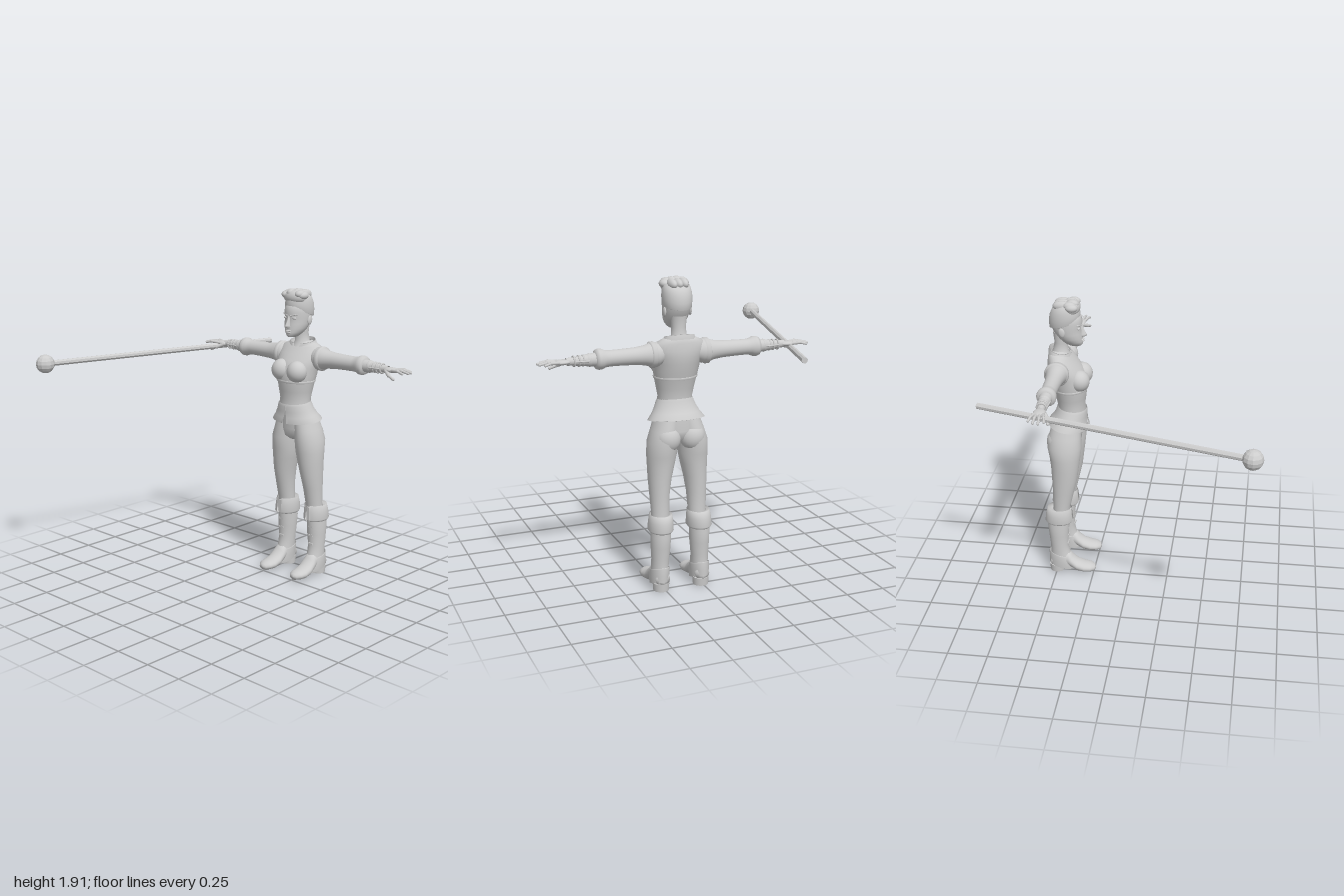
import * as THREE from 'three';

const grey = new THREE.MeshStandardMaterial({ color: 0xcccccc, side: THREE.DoubleSide });
grey.name = 'plain grey';

function add(parent, name, geometry, x = 0, y = 0, z = 0) {
  const mesh = new THREE.Mesh(geometry, grey);
  mesh.name = name;
  mesh.position.set(x, y, z);
  parent.add(mesh);
  return mesh;
}

// Skin over horizontal rings, listed top to bottom:
// [height, centre x, front z, back z, half width, half angle of a front slit]
function loft(rings, slope = 0, n = 32) {
  const open = rings.some(r => r[5]);
  const cols = open ? n + 1 : n;
  const pos = [], idx = [];
  rings.forEach(([h, cx, f, b, w, slit = 0], j) => {
    const cz = (f + b) / 2, d = (f - b) / 2;
    for (let i = 0; i < cols; i++) {
      const a = slit + (2 * Math.PI - 2 * slit) * i / n;
      const dz = d * Math.cos(a);
      pos.push(cx + w * Math.sin(a), h + slope * dz, cz + dz);
      if (j === rings.length - 1 || i === n) continue;
      const p = j * cols + i, q = j * cols + (i + 1) % cols;
      idx.push(p, p + cols, q, p + cols, q + cols, q);
    }
  });
  const g = new THREE.BufferGeometry();
  g.setAttribute('position', new THREE.Float32BufferAttribute(pos, 3));
  g.setIndex(idx);
  g.computeVertexNormals();
  return g;
}

const ball = (rx, ry, rz) => new THREE.SphereGeometry(1, 24, 16).scale(rx, ry, rz);

// Turned shape along x from [radius, distance] pairs
const turned = points => new THREE.LatheGeometry(
  points.map(p => new THREE.Vector2(...p)), 28).rotateZ(-Math.PI / 2);

// Rounded rod between two points
function rod(parent, name, a, b, r) {
  const from = new THREE.Vector3(...a), to = new THREE.Vector3(...b);
  const dir = to.clone().sub(from);
  const mesh = add(parent, name, new THREE.CapsuleGeometry(r, dir.length(), 5, 10));
  mesh.position.copy(from).add(to).multiplyScalar(0.5);
  mesh.quaternion.setFromUnitVectors(new THREE.Vector3(0, 1, 0), dir.normalize());
}

function buildTorso(body) {
  add(body, 'vest', loft([
    [1.57, 0, -.43, -.52, .05], [1.56, 0, -.415, -.53, .1], [1.535, 0, -.393, -.537, .15],
    [1.49, 0, -.36, -.542, .165], [1.45, 0, -.328, -.542, .16], [1.41, 0, -.305, -.535, .147],
    [1.36, 0, -.295, -.525, .14], [1.31, 0, -.295, -.51, .13], [1.25, 0, -.303, -.495, .117],
    [1.2, 0, -.31, -.486, .107], [1.15, 0, -.305, -.485, .11]]));
  add(body, 'peplum', loft([
    [1.18, 0, -.302, -.486, .108], [1.165, 0, -.296, -.492, .116], [1.13, 0, -.298, -.503, .13, .02],
    [1.095, 0, -.295, -.525, .15, .07], [1.06, 0, -.288, -.552, .178, .1],
    [1.058, 0, -.296, -.545, .17, .1]], -.13, 48));
  add(body, 'underbustSeam', loft([
    [1.325, 0, -.29, -.514, .133], [1.32, 0, -.286, -.518, .137], [1.31, 0, -.29, -.514, .133]]));
  add(body, 'collar', loft([
    [1.535, 0, -.41, -.525, .09, .25], [1.572, 0, -.402, -.527, .087, .35],
    [1.57, 0, -.396, -.532, .092, .35], [1.54, 0, -.388, -.537, .105, .2]], -.25));
  add(body, 'neck', loft([
    [1.69, 0, -.405, -.505, .05], [1.62, 0, -.412, -.496, .043],
    [1.57, 0, -.412, -.508, .047], [1.53, 0, -.39, -.52, .07]]));
  add(body, 'pelvis', loft([
    [1.12, 0, -.325, -.515, .13], [1.0, 0, -.33, -.53, .15],
    [.95, 0, -.34, -.515, .12], [.925, 0, -.37, -.48, .05], [.915, 0, -.42, -.43, 0]]));
}

function buildHead(body) {
  const head = new THREE.Group();
  head.name = 'head';
  body.add(head);
  add(head, 'face', loft([
    [1.86, 0, -.43, -.44, 0], [1.84, 0, -.36, -.5, .055], [1.8, 0, -.327, -.518, .08],
    [1.76, 0, -.317, -.52, .084], [1.725, 0, -.325, -.512, .081], [1.69, 0, -.32, -.495, .078],
    [1.66, 0, -.318, -.475, .07], [1.635, 0, -.315, -.45, .057], [1.615, 0, -.316, -.425, .038],
    [1.603, 0, -.328, -.405, .022], [1.6, 0, -.36, -.37, 0]]));
  add(head, 'nose', loft([
    [1.745, 0, -.32, -.36, .007], [1.71, 0, -.308, -.36, .009], [1.68, 0, -.291, -.36, .014],
    [1.67, 0, -.291, -.36, .018], [1.661, 0, -.31, -.36, .012]], 0, 16));
  add(head, 'upperLip', ball(.023, .006, .012), 0, 1.645, -.319);
  add(head, 'lowerLip', ball(.02, .007, .012), 0, 1.635, -.319);
  for (const s of [-1, 1]) {
    add(head, 'eye', ball(.016, .008, .01), s * .035, 1.726, -.336);
    add(head, 'ear', ball(.009, .03, .02), s * .081, 1.71, -.435).rotation.x = -.2;
    rod(head, 'brow', [s * .014, 1.742, -.323], [s * .055, 1.752, -.341], .005);
  }
  // Swept-up hair with a roll at the front and curls over the crown
  add(head, 'hairCap', loft([
    [1.885, 0, -.43, -.44, 0], [1.882, 0, -.38, -.47, .05], [1.865, 0, -.35, -.505, .077],
    [1.83, 0, -.335, -.522, .088], [1.79, 0, -.328, -.527, .09], [1.75, 0, -.332, -.525, .087],
    [1.745, 0, -.345, -.515, .08]], .25));
  add(head, 'frontRoll', ball(.082, .05, .052), 0, 1.855, -.38);
  for (let i = 0; i < 6; i++) {
    const a = -1.5 + i * .6;
    add(head, 'curl', ball(.032, .026, .04), .062 * Math.sin(a), 1.867 + .016 * Math.cos(a), -.375 - .012 * (i % 2));
  }
  for (const x of [-.035, 0, .035]) add(head, 'crownLock', ball(.028, .032, .06), x, 1.87, -.435);
}

function buildArm(side) {
  const arm = new THREE.Group();
  arm.name = 'arm';
  arm.position.set(0, 1.468, -.458);
  side.add(arm);
  add(arm, 'sleeve', turned([
    [.05, .1], [.073, .14], [.072, .175], [.058, .22], [.051, .28], [.048, .36], [.047, .43],
    [.051, .46], [.06, .48], [.061, .5], [.055, .515], [.037, .52]]));
  add(arm, 'armhole', turned([[.066, .145], [.078, .16], [.078, .18], [.068, .186]]));
  add(arm, 'forearm', turned([[.042, .5], [.037, .55], [.03, .6], [.024, .65], [.022, .69]]));
  add(arm, 'bracerCuff', turned([[.036, .545], [.04, .55], [.036, .565], [.033, .57]]));
  for (const [d, r] of [[.59, .034], [.615, .034], [.645, .033]])
    add(arm, 'bracelet', new THREE.TorusGeometry(r - .005, .006, 8, 24).rotateY(Math.PI / 2), d);
  for (const z of [-1, 1]) rod(arm, 'bracerStrap', [.56, 0, z * .035], [.645, 0, z * .029], .005);
  // Hand
  add(arm, 'palm', ball(.058, .016, .036), .715, 0, 0);
  const fingers = [[.032, .05, .835], [.011, .02, .86], [-.011, -.012, .855], [-.03, -.044, .83]];
  for (const [z0, z1, tip] of fingers) {
    const mid = [(.74 + tip) / 2, .006, (z0 + z1) / 2];
    rod(arm, 'finger', [.735, .002, z0 * .8], mid, .0095);
    rod(arm, 'fingertip', mid, [tip - .008, -.003, z1], .0075);
  }
  rod(arm, 'thumb', [.685, -.004, .022], [.73, -.026, .05], .012);
  rod(arm, 'thumbTip', [.73, -.026, .05], [.77, -.042, .06], .009);
}

function buildLeg(side) {
  const leg = new THREE.Group();
  leg.name = 'leg';
  side.add(leg);
  add(leg, 'trousers', loft([
    [1.1, .06, -.33, -.515, .07], [1.0, .083, -.328, -.538, .082], [.93, .097, -.323, -.548, .091],
    [.85, .101, -.333, -.533, .091], [.78, .107, -.343, -.525, .082], [.7, .115, -.354, -.52, .071],
    [.6, .12, -.378, -.516, .061], [.5, .12, -.402, -.515, .056], [.43, .122, -.41, -.52, .055]]));
  add(leg, 'buttock', ball(.078, .085, .07), .078, .955, -.483);
  add(leg, 'bust', ball(.068, .07, .066), .064, 1.385, -.334);
  // Boot
  add(leg, 'bootShaft', loft([
    [.47, .123, -.408, -.545, .058], [.35, .127, -.414, -.556, .062], [.28, .128, -.418, -.55, .06],
    [.2, .13, -.424, -.541, .054], [.13, .131, -.408, -.54, .053], [.08, .133, -.385, -.546, .054],
    [.04, .133, -.38, -.546, .052]]));
  add(leg, 'bootCuff', loft([
    [.475, .122, -.405, -.52, .056, .2], [.487, .123, -.395, -.555, .068, .2],
    [.44, .125, -.39, -.567, .075, .22], [.39, .126, -.385, -.573, .078, .25],
    [.378, .126, -.395, -.565, .07, .25], [.38, .126, -.41, -.55, .058, .25]]));
  add(leg, 'cuffTongue', new THREE.BoxGeometry(.022, .09, .012), .123, .43, -.402);
  for (const y of [.215, .275, .335])
    add(leg, 'bootStrap', new THREE.BoxGeometry(.036, .012, .009), .13, y, -.42);
  add(leg, 'foot', loft([
    [-.236, .136, -.03, -.035, 0], [-.243, .136, -.012, -.052, .03], [-.27, .136, -.007, -.064, .051],
    [-.31, .136, -.004, -.07, .058], [-.36, .135, -.01, -.088, .056], [-.395, .134, -.028, -.12, .053],
    [-.42, .133, -.035, -.15, .05], [-.48, .132, -.035, -.15, .05], [-.535, .131, -.035, -.12, .045],
    [-.552, .131, -.05, -.08, 0]]).rotateX(Math.PI / 2));
  add(leg, 'heelCounter', loft([
    [.135, .131, -.405, -.548, .057], [.13, .131, -.4, -.552, .06], [.08, .133, -.385, -.553, .059],
    [.04, .133, -.39, -.552, .056]], -.3));
  add(leg, 'heel', new THREE.CylinderGeometry(.052, .048, .05, 20), .132, .025, -.5);
  add(leg, 'toeCapSeam', new THREE.TorusGeometry(.046, .004, 6, 20, Math.PI)
    .scale(1, 1.7, 1).rotateX(-.75), .135, .035, -.325);
}

export function createModel() {
  const model = new THREE.Group();
  model.name = 'staffBearer';
  const body = new THREE.Group();
  body.name = 'body';
  body.position.x = .138;
  model.add(body);
  buildTorso(body);
  buildHead(body);
  for (const s of [1, -1]) {
    const side = new THREE.Group();
    side.name = s > 0 ? 'leftSide' : 'rightSide';
    side.scale.x = s;
    body.add(side);
    buildArm(side);
    buildLeg(side);
  }

  // Staff with a round head, lying across the right hand
  const a = new THREE.Vector3(-.94, 1.442, .79), b = new THREE.Vector3(-.489, 1.448, -.848);
  const dir = b.clone().sub(a);
  const shaft = add(model, 'staffShaft',
    new THREE.CylinderGeometry(.019, .019, dir.length(), 8).toNonIndexed());
  shaft.geometry.computeVertexNormals();
  shaft.position.copy(a).add(b).multiplyScalar(.5);
  shaft.quaternion.setFromUnitVectors(new THREE.Vector3(0, 1, 0), dir.normalize());
  const knob = new THREE.SphereGeometry(.06, 12, 8).toNonIndexed();
  knob.computeVertexNormals();
  add(model, 'staffKnob', knob, a.x, a.y, a.z);
  return model;
}
